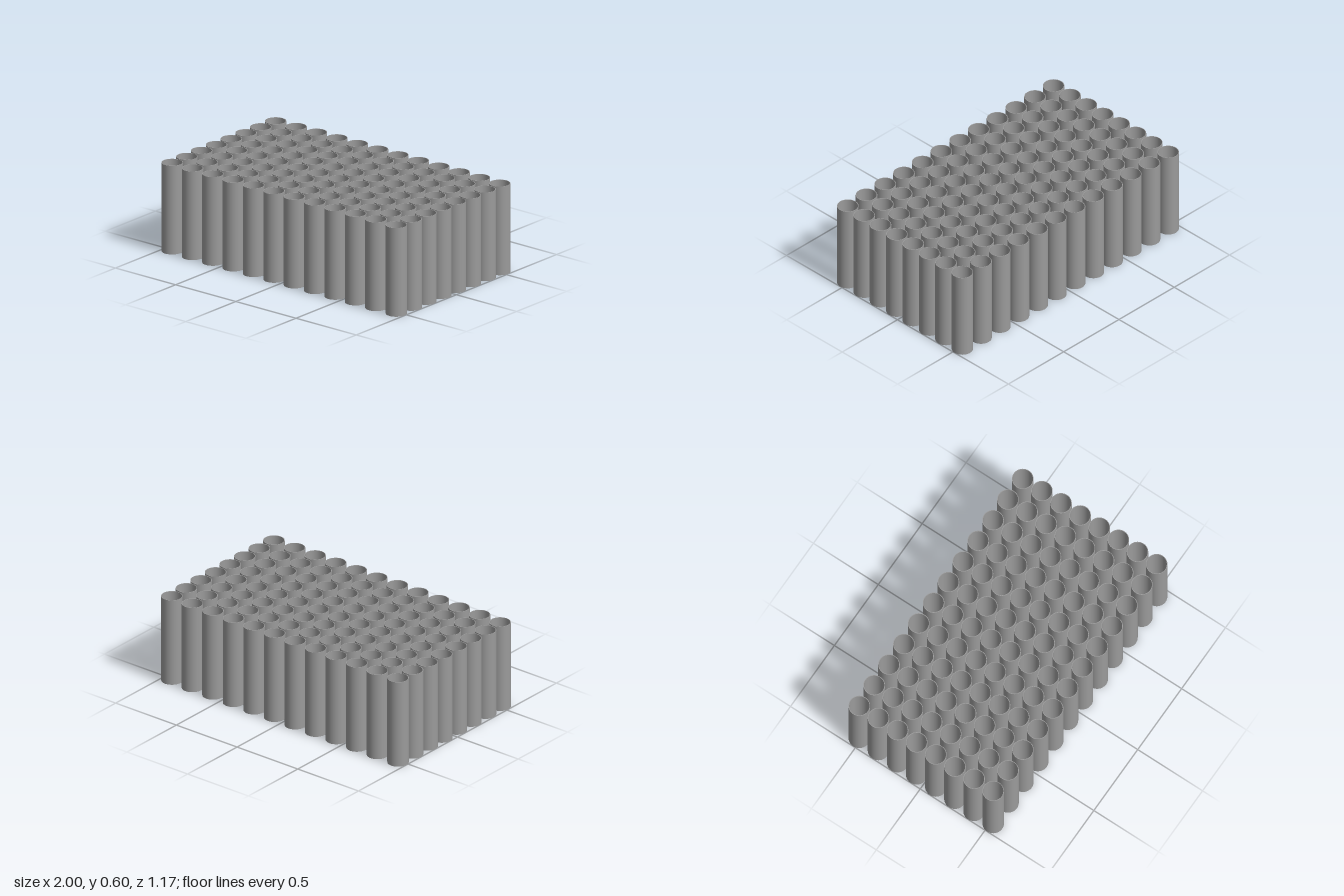
import * as THREE from 'three';
import { mergeGeometries } from 'three/addons/utils/BufferGeometryUtils.js';

// Hollow tube: smooth walls joined by flat rims, with sharp edges between them
function hollowTube(outer, inner, height) {
  const corners = [[outer, 0], [outer, height], [inner, height], [inner, 0]]
    .map(([x, y]) => new THREE.Vector2(x, y));
  return mergeGeometries(corners.map((corner, i) =>
    new THREE.LatheGeometry([corner, corners[(i + 1) % 4]], 32)));
}

export function createModel() {
  const model = new THREE.Group();
  model.name = 'tubeArray';

  const columns = 12, rows = 8;
  const radius = 0.069, wall = 0.004, height = 0.6;
  const halfX = 1 - radius, halfZ = 0.585 - radius;

  const tubeGeometry = hollowTube(radius, radius - wall, height);
  const material = new THREE.MeshStandardMaterial({ color: 0x9b9b9b });

  // Rows of evenly spaced upright tubes
  for (let r = 0; r < rows; r++) {
    const row = new THREE.Group();
    row.name = `tubeRow${r + 1}`;
    row.position.z = THREE.MathUtils.lerp(-halfZ, halfZ, r / (rows - 1));
    for (let c = 0; c < columns; c++) {
      const tube = new THREE.Mesh(tubeGeometry, material);
      tube.name = 'tube';
      tube.position.x = THREE.MathUtils.lerp(-halfX, halfX, c / (columns - 1));
      row.add(tube);
    }
    model.add(row);
  }
  return model;
}
